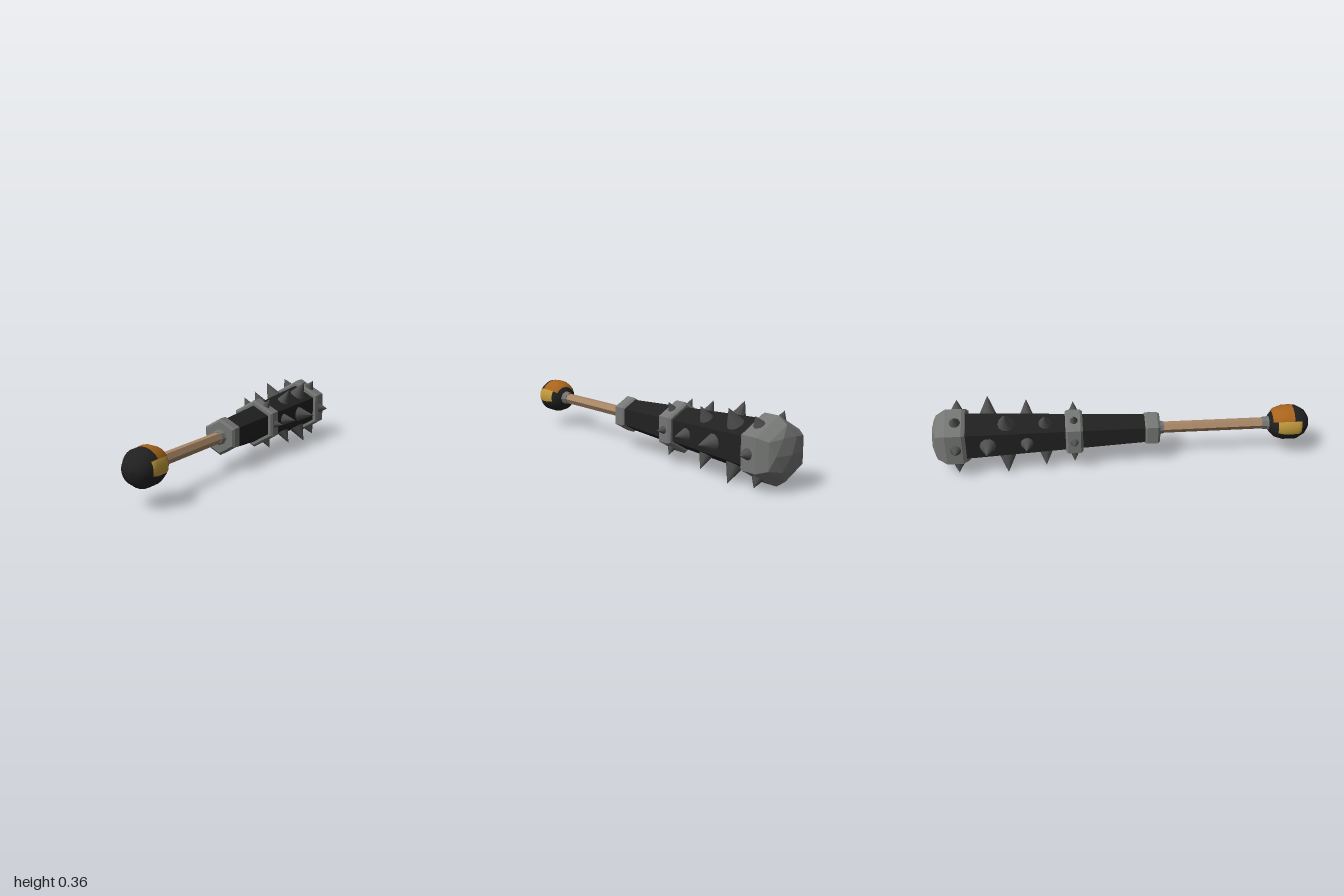
import * as THREE from 'three';
import { ConvexGeometry } from 'three/addons/geometries/ConvexGeometry.js';

const AXIS_Y = 0.178;

const makeMaterial = (name, color) => {
  const m = new THREE.MeshStandardMaterial({ color });
  m.name = name;
  return m;
};

// Turned shape along z; profile is a list of [z, radius] with z rising
function turned(profile, sides, { flat = true, start = 0, length = Math.PI * 2 } = {}) {
  const pts = profile.map(([z, r]) => new THREE.Vector2(r, z));
  let geo = new THREE.LatheGeometry(pts, sides, start, length).rotateX(Math.PI / 2);
  if (flat) {
    geo = geo.toNonIndexed();
    geo.computeVertexNormals();
  }
  return geo;
}

export function createModel() {
  const steel = makeMaterial('steel grey', 0x747674);
  const spikeMetal = makeMaterial('dark spike metal', 0x4e4f4e);
  const black = makeMaterial('black body', 0x212121);
  const wood = makeMaterial('handle wood', 0xa88767);
  const orange = makeMaterial('burnt orange', 0xa8641c);
  const gold = makeMaterial('gold', 0xc29a3c);

  const club = new THREE.Group();
  club.name = 'spikedClub';
  club.position.y = AXIS_Y;

  const add = (name, geo, mat) => {
    const mesh = new THREE.Mesh(geo, mat);
    mesh.name = name;
    club.add(mesh);
    return mesh;
  };

  // Six-sided tapering body
  add('body', turned([[-0.84, 0], [-0.84, 0.136], [0.13, 0.083], [0.13, 0]], 6), black);

  // Bevelled six-sided collars
  const collar = (name, z0, z1, r) => add(name, turned([
    [z0, 0], [z0, r - 0.012], [z0 + 0.012, r], [z1 - 0.012, r], [z1, r - 0.012], [z1, 0],
  ], 6), steel);
  collar('frontCollar', 0.11, 0.19, 0.095);
  collar('middleCollar', -0.305, -0.215, 0.131);

  // Faceted end cap: rings of [z, radius, twist] closed by a low point
  const capPoints = [new THREE.Vector3(0, 0, -1)];
  const twist = Math.PI / 6;
  for (const [z, r, a0] of [
    [-0.815, 0.152, twist], [-0.832, 0.163, twist], [-0.915, 0.163, twist],
    [-0.965, 0.13, twist], [-0.986, 0.088, 0],
  ]) {
    for (let i = 0; i < 6; i++) {
      const a = a0 + i * Math.PI / 3;
      capPoints.push(new THREE.Vector3(r * Math.cos(a), r * Math.sin(a), z));
    }
  }
  add('endCap', new ConvexGeometry(capPoints), steel);

  // Wooden handle with a ferrule at each end
  add('handle', turned([[0.18, 0.03], [0.8, 0.03]], 6, { start: Math.PI / 6 }), wood);
  add('bodyFerrule', turned([[0.18, 0.045], [0.2, 0.036], [0.215, 0.032], [0.215, 0]], 8), steel);
  add('pommelFerrule', turned([[0.745, 0], [0.745, 0.033], [0.77, 0.034], [0.795, 0.048]], 8), steel);

  // Rounded pommel
  add('pommel', turned([
    [0.78, 0], [0.78, 0.042], [0.81, 0.076], [0.855, 0.091], [0.925, 0.091],
    [0.97, 0.066], [0.99, 0.036], [0.997, 0],
  ], 24, { flat: false }), black);

  // Thin painted patches over the pommel
  const deg = Math.PI / 180;
  const patch = (name, profile, from, to, mat) => add(name,
    turned(profile, (to - from) / 15, { flat: false, start: from * deg, length: (to - from) * deg }), mat);
  patch('orangeTopPatch', [[0.795, 0.063], [0.81, 0.079], [0.855, 0.094], [0.905, 0.094]], 120, 240, orange);
  const sideProfile = [[0.82, 0.082], [0.855, 0.094], [0.925, 0.094], [0.945, 0.083]];
  patch('goldLeftPatch', sideProfile, 75, 120, gold);
  patch('goldRightPatch', sideProfile, 240, 285, gold);

  // Spikes stand on the six flat faces
  function spike(name, angle, z, base, tip, radius) {
    const height = tip - base;
    const geo = new THREE.ConeGeometry(radius, height, 10);
    const mesh = add(name, geo, spikeMetal);
    const mid = base + height / 2;
    mesh.position.set(mid * Math.cos(angle), mid * Math.sin(angle), z);
    mesh.rotation.z = angle - Math.PI / 2;
  }
  for (let i = 0; i < 6; i++) {
    const a = i * Math.PI / 3;
    spike('capSpike', a, -0.865, 0.135, 0.19, 0.032);
    spike('collarSpike', a, -0.26, 0.107, 0.157, 0.024);
    // Neighbouring faces carry staggered pairs
    const rows = i % 2 === 0
      ? [[-0.41, 0.092, 0.17, 0.036], [-0.61, 0.1, 0.2, 0.046]]
      : [[-0.505, 0.096, 0.178, 0.036], [-0.705, 0.105, 0.205, 0.046]];
    for (const [z, base, tip, r] of rows) spike('bodySpike', a, z, base, tip, r);
  }

  const model = new THREE.Group();
  model.name = 'model';
  model.add(club);
  return model;
}
